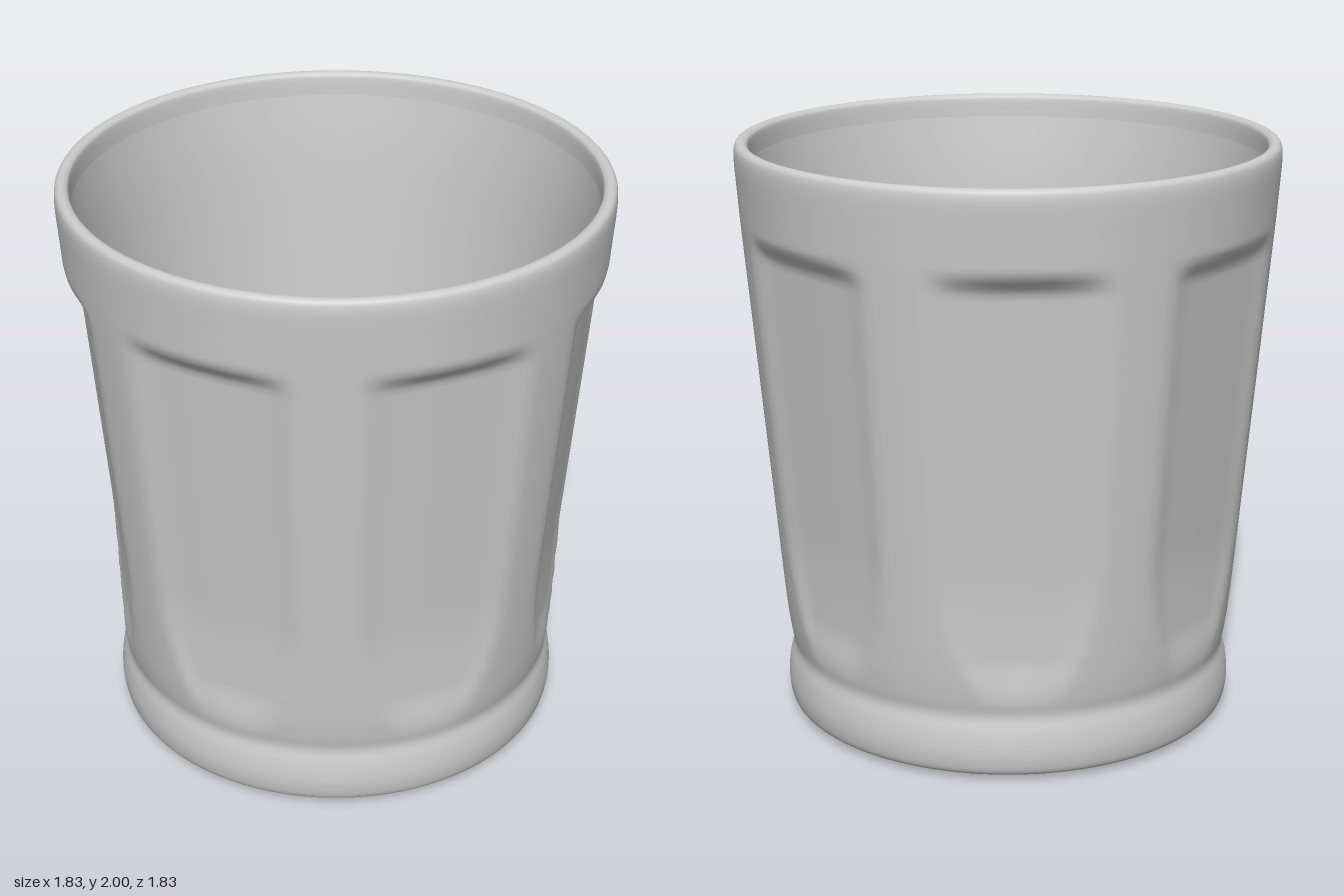
import * as THREE from 'three';
import { mergeVertices } from 'three/addons/utils/BufferGeometryUtils.js';

const PANELS = 7, SEGMENTS = PANELS * 24;
const STEP = (Math.PI * 2) / PANELS;
const FIRST = THREE.MathUtils.degToRad(8.6);
const smooth = THREE.MathUtils.smoothstep;
const v2 = ([r, y]) => new THREE.Vector2(r, y);

// How far a pressed flat panel sinks into the wall at a given angle and height
function panelCut(angle, y, radius) {
  const d = Math.abs(angle - FIRST - Math.round((angle - FIRST) / STEP) * STEP);
  // panels narrow in a rounded curve towards the foot
  const t = THREE.MathUtils.clamp((0.75 - y) / 0.47, 0, 1);
  const half = THREE.MathUtils.degToRad(19 - 9 * t * t);
  if (d >= half) return 0;
  const flat = radius * (1 - Math.cos(half) / Math.cos(d));
  const edge = 1 - smooth(d, half * 0.7, half);
  const ends = smooth(y, 0.24, 0.42) * (1 - smooth(y, 1.66, 1.74));
  return (flat * 0.85 + 0.008 * edge) * ends;
}

// Revolve a profile, optionally press the panels, and smooth across the seam
function revolve(points, pressed) {
  let geo = new THREE.LatheGeometry(points, SEGMENTS);
  const p = geo.attributes.position;
  if (pressed) {
    for (let i = 0; i < p.count; i++) {
      const x = p.getX(i), y = p.getY(i), z = p.getZ(i);
      const r = Math.hypot(x, z);
      const k = (r - panelCut(Math.atan2(x, z), y, r)) / r;
      p.setXYZ(i, x * k, y, z * k);
    }
  }
  geo.deleteAttribute('uv');
  geo.deleteAttribute('normal');
  geo = mergeVertices(geo, 1e-5);
  geo.computeVertexNormals();
  return geo;
}

export function createModel() {
  const group = new THREE.Group();
  group.name = 'tumbler';
  const material = new THREE.MeshStandardMaterial({ color: 0xcccccc });
  const add = (name, points, pressed = false) => {
    const mesh = new THREE.Mesh(revolve(points, pressed), material);
    mesh.name = name;
    group.add(mesh);
  };

  // underside, very slightly domed
  add('base', [[0, 0], [0.4, 0.004], [0.74, 0.015]].map(v2));

  // rounded foot, waist, tapering wall and rolled rim
  const foot = new THREE.SplineCurve([
    [0.74, 0.015], [0.767, 0.028], [0.778, 0.06], [0.781, 0.11],
    [0.773, 0.17], [0.76, 0.225], [0.769, 0.28], [0.779, 0.35], [0.789, 0.45],
  ].map(v2)).getPoints(40);
  const wall = [];
  for (let i = 1; i <= 60; i++) {
    const t = i / 60;
    wall.push(new THREE.Vector2(0.789 + 0.111 * t, 0.45 + 1.3 * t));
  }
  const rim = new THREE.SplineCurve([
    [0.9, 1.75], [0.907, 1.85], [0.913, 1.94], [0.911, 1.98], [0.902, 1.996],
    [0.887, 2], [0.873, 1.995], [0.865, 1.98], [0.861, 1.92],
  ].map(v2)).getPoints(40).slice(1);
  add('outerWallAndRim', [...foot, ...wall, ...rim], true);

  // plain inside wall with a rounded bowl running into a flat floor
  const inside = new THREE.SplineCurve([
    [0.861, 1.92], [0.828, 1.68], [0.785, 1.2], [0.75, 0.8],
    [0.725, 0.6], [0.695, 0.45], [0.64, 0.33], [0.56, 0.27],
  ].map(v2)).getPoints(40);
  add('innerWallAndFloor', [...inside, ...[[0.46, 0.25], [0.38, 0.245], [0, 0.245]].map(v2)]);
  return group;
}
